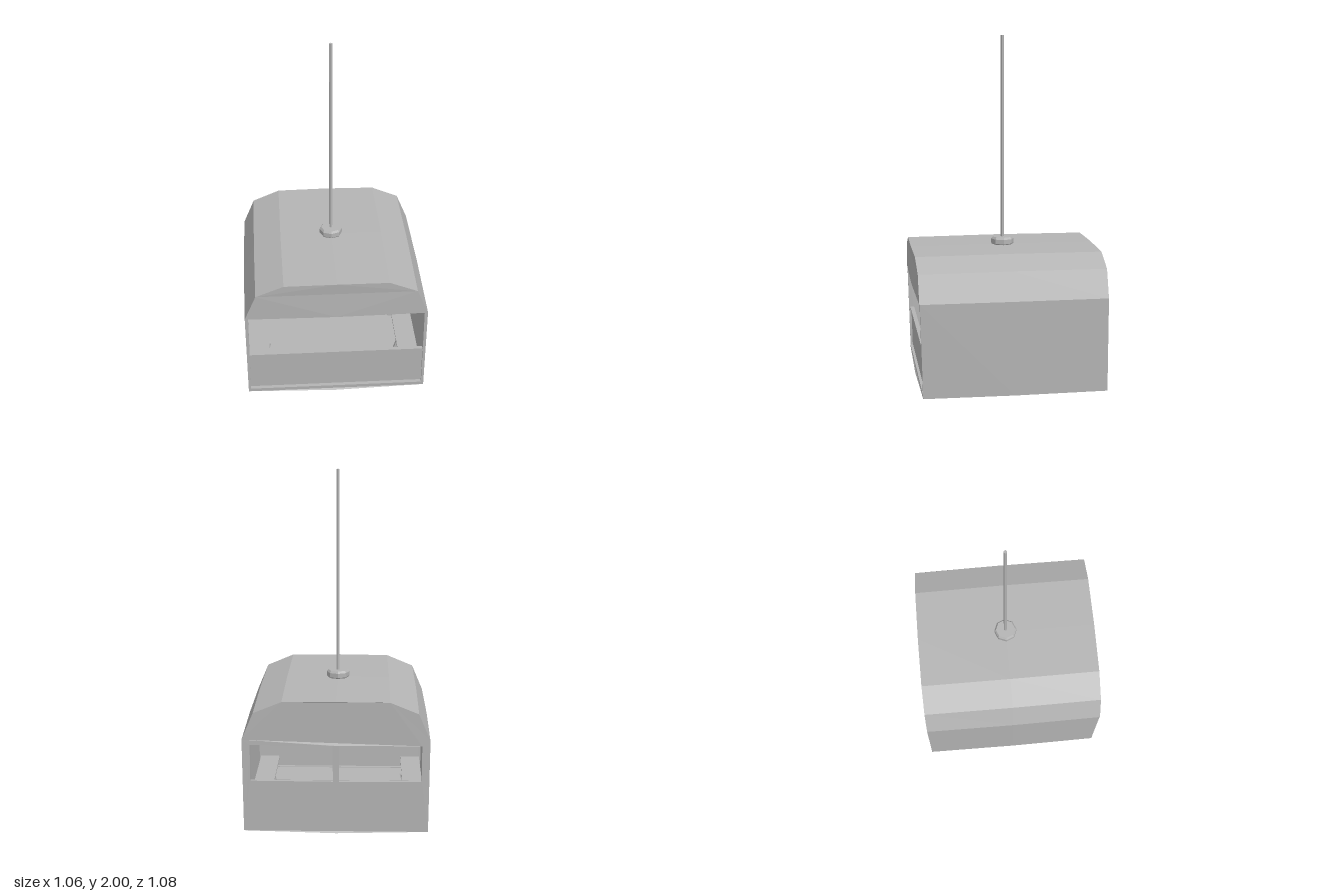
import * as THREE from 'three';

const grey = new THREE.MeshStandardMaterial({ color: 0xb4b4b4, flatShading: true, side: THREE.DoubleSide });
grey.name = 'grey paint';

// Half outline of the cabin, from the keel up to the roof ridge
const HALF = [[0, 0.002], [0.52, 0.012], [0.525, 0.55], [0.46, 0.705], [0.3, 0.771], [0, 0.774]];
const mirrored = (half) => [...half, ...half.slice(1, -1).reverse().map(([x, y]) => [-x, y])];

// The front leans out slightly towards the roof
const frontZ = (y) => 0.514 + 0.014 * Math.min(1, y / 0.55);
const bulge = (x) => 0.008 * (1 - (x / 0.525) ** 2);

export function createModel() {
  const model = new THREE.Group();

  const add = (name, geometry, x = 0, y = 0, z = 0) => {
    const mesh = new THREE.Mesh(geometry, grey);
    mesh.name = name;
    mesh.position.set(x, y, z);
    model.add(mesh);
    return mesh;
  };
  const box = (name, w, h, d, x, y, z) => add(name, new THREE.BoxGeometry(w, h, d), x, y, z);

  const polygon = (points) => points.map(([x, y]) => new THREE.Vector2(x, y));
  const rect = (x0, x1, y0, y1) => polygon([[x0, y0], [x1, y0], [x1, y1], [x0, y1]]);

  // Upright plate, gently bowed outwards; inset pushes it into the cabin
  const plate = (name, outline, holes, depth, inset, isFront) => {
    const shape = new THREE.Shape(outline);
    shape.holes = holes.map((h) => new THREE.Path(h));
    const geometry = new THREE.ExtrudeGeometry(shape, { depth, bevelEnabled: false });
    const p = geometry.attributes.position;
    for (let i = 0; i < p.count; i++) {
      const x = p.getX(i), y = p.getY(i), z = p.getZ(i);
      p.setZ(i, isFront
        ? frontZ(y) + bulge(x) - inset - depth + z
        : -0.53 - bulge(x) + inset + z);
    }
    geometry.computeVertexNormals();
    return add(name, geometry);
  };

  // Shell: floor, walls and roof swept through three cross-sections
  const ring = mirrored(HALF);
  const n = ring.length;
  const verts = [];
  const index = [];
  [-1, 0, 1].forEach((s) => {
    const widen = s === 0 ? 1.008 : 1;
    ring.forEach(([x, y]) => {
      const z = s < 0 ? -0.53 - bulge(x) : s * (frontZ(y) + bulge(x));
      const lift = s === 0 ? (y > 0.6 ? 0.003 : y < 0.1 ? -0.002 : 0) : 0;
      verts.push(x * widen, y + lift, z);
    });
  });
  for (let k = 0; k < 2; k++) {
    for (let i = 0; i < n; i++) {
      const a = k * n + i, b = k * n + (i + 1) % n;
      index.push(a, b, b + n, a, b + n, a + n);
    }
  }
  let shell = new THREE.BufferGeometry();
  shell.setAttribute('position', new THREE.Float32BufferAttribute(verts, 3));
  shell.setIndex(index);
  shell = shell.toNonIndexed();
  shell.computeVertexNormals();
  add('cabinShell', shell);

  // Back wall with two windows
  plate('backWall', polygon(ring), [rect(-0.48, -0.017, 0.31, 0.52), rect(0.017, 0.48, 0.31, 0.52)], 0.02, 0, false);

  // Front gable above the opening
  const gable = [[0, 0.55], ...HALF.slice(2)];
  plate('frontGable', polygon(mirrored(gable)), [], 0.02, -0.003, true);

  // Front frame around the opening
  plate('frontFrame', polygon([[0, 0.002], [0.52, 0.012], [0.525, 0.55], [-0.525, 0.55], [-0.52, 0.012]]),
    [rect(-0.506, 0.506, 0.032, 0.548)], 0.025, 0, true);

  // Half-height door set behind the frame, with a top rail
  plate('door', rect(-0.506, 0.506, 0.04, 0.27), [], 0.012, 0.014, true);
  plate('doorRail', rect(-0.506, 0.506, 0.266, 0.28), [], 0.024, 0.008, true);

  // Inside floor
  box('floor', 1.02, 0.008, 1.0, 0, 0.024, 0);

  // Side benches on splayed legs
  for (const s of [-1, 1]) {
    box('bench', 0.12, 0.012, 0.96, s * 0.45, 0.104, 0);
    for (const z of [-0.17, 0.17]) {
      for (const t of [-1, 1]) {
        const leg = box('benchLeg', 0.02, 0.08, 0.02, s * (0.43 + t * 0.03), 0.065, z);
        leg.rotation.z = t * 0.3;
      }
    }
  }

  // Bevelled collar and hanger rod on the roof
  const collar = [[0, 0.77], [0.058, 0.77], [0.067, 0.782], [0.067, 0.808], [0.058, 0.82], [0, 0.82]];
  add('hangerCollar', new THREE.LatheGeometry(polygon(collar), 8), 0, 0, -0.004);
  add('hangerRod', new THREE.CylinderGeometry(0.01, 0.01, 1.19, 6), 0, 1.405, -0.004);

  return model;
}
